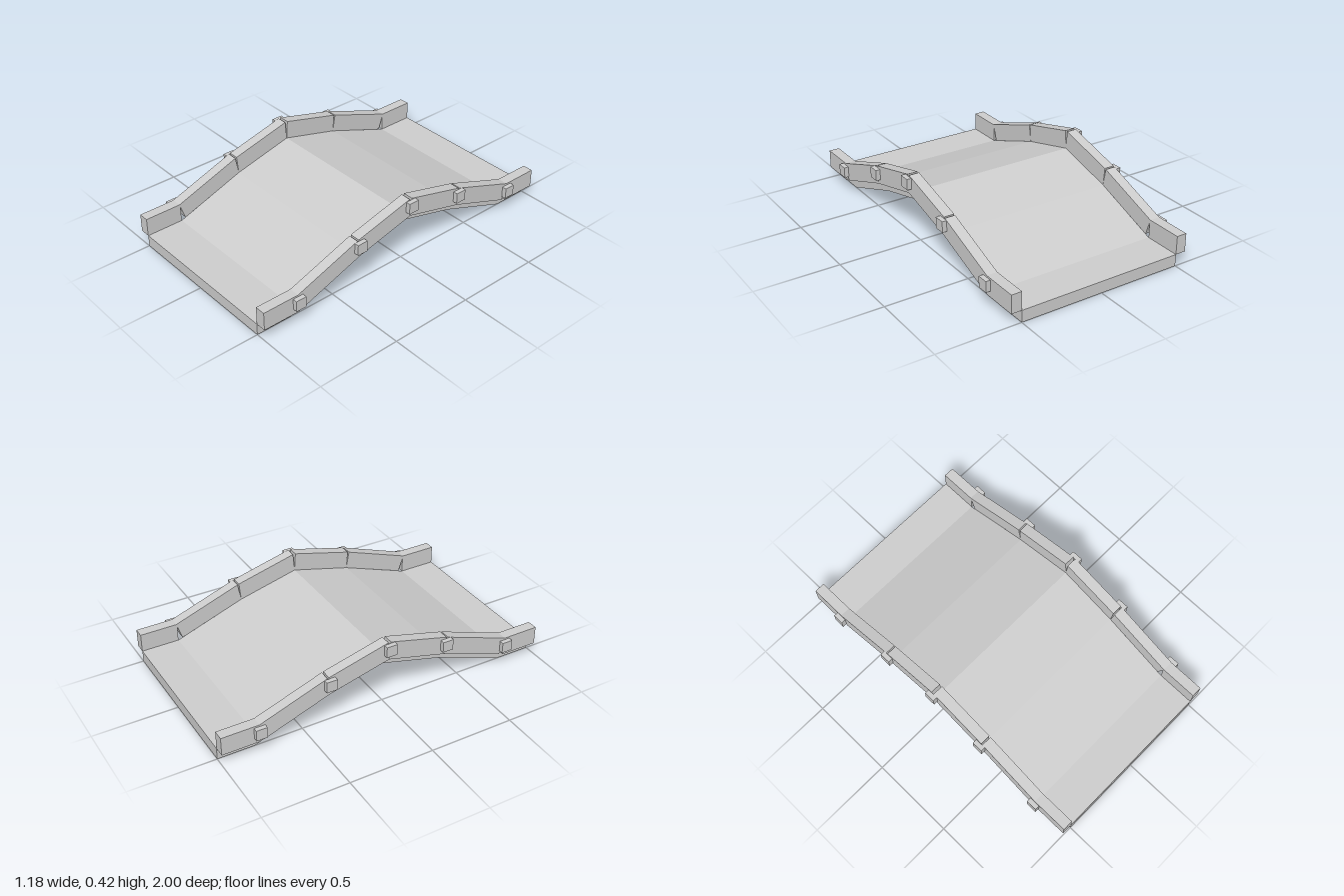
import * as THREE from 'three';

const stone = new THREE.MeshStandardMaterial({ color: 0xcccccc });
stone.name = 'paleGrey';

// Extrudes a side profile of [z, y] points across x from x0 to x1.
function slab(name, points, x0, x1) {
  const shape = new THREE.Shape(points.map(([z, y]) => new THREE.Vector2(-z, y)));
  const geo = new THREE.ExtrudeGeometry(shape, { depth: x1 - x0, bevelEnabled: false });
  geo.rotateY(Math.PI / 2).translate(x0, 0, 0);
  const mesh = new THREE.Mesh(geo, stone);
  mesh.name = name;
  return mesh;
}

const flip = (points) => points.map(([z, y]) => [-z, y]);

export function createModel() {
  const model = new THREE.Group();
  model.name = 'archedBridge';

  // Deck: a constant-thickness strip bent over the arch
  const top = [[1, 0.07], [0.775, 0.07], [0.36, 0.22], [0, 0.312]];
  const bottom = [[1, 0], [0.785, 0], [0.36, 0.155], [0, 0.248]];
  const both = (half) => [...half, ...flip(half.slice(0, -1)).reverse()];
  model.add(slab('deck', [...both(top), ...both(bottom).reverse()], -0.5, 0.5));

  // Parapet panels, with small open wedges at the joints
  const panels = [
    [[1, 0.07], [0.775, 0.07], [0.775, 0.18], [1, 0.18]],
    [[0.748, 0.08], [0.36, 0.22], [0.379, 0.325], [0.78, 0.18]],
    [[0.36, 0.22], [0, 0.312], [0.008, 0.422], [0.37, 0.328]],
  ];
  // Square blocks covering each joint on the outside
  const joints = [[0.78, 0.137], [0.365, 0.287], [0, 0.381], [-0.365, 0.287], [-0.78, 0.137]];

  for (const side of [1, -1]) {
    const parapet = new THREE.Group();
    parapet.name = side > 0 ? 'leftParapet' : 'rightParapet';
    const x0 = side > 0 ? 0.5 : -0.563;
    for (const p of panels) {
      parapet.add(slab('parapetPanel', p, x0, x0 + 0.063));
      parapet.add(slab('parapetPanel', flip(p), x0, x0 + 0.063));
    }
    for (const [z, y] of joints) {
      const block = new THREE.Mesh(new THREE.BoxGeometry(0.027, 0.065, 0.065), stone);
      block.position.set(side * 0.5765, y, z);
      block.name = 'jointBlock';
      parapet.add(block);
    }
    model.add(parapet);
  }
  return model;
}
